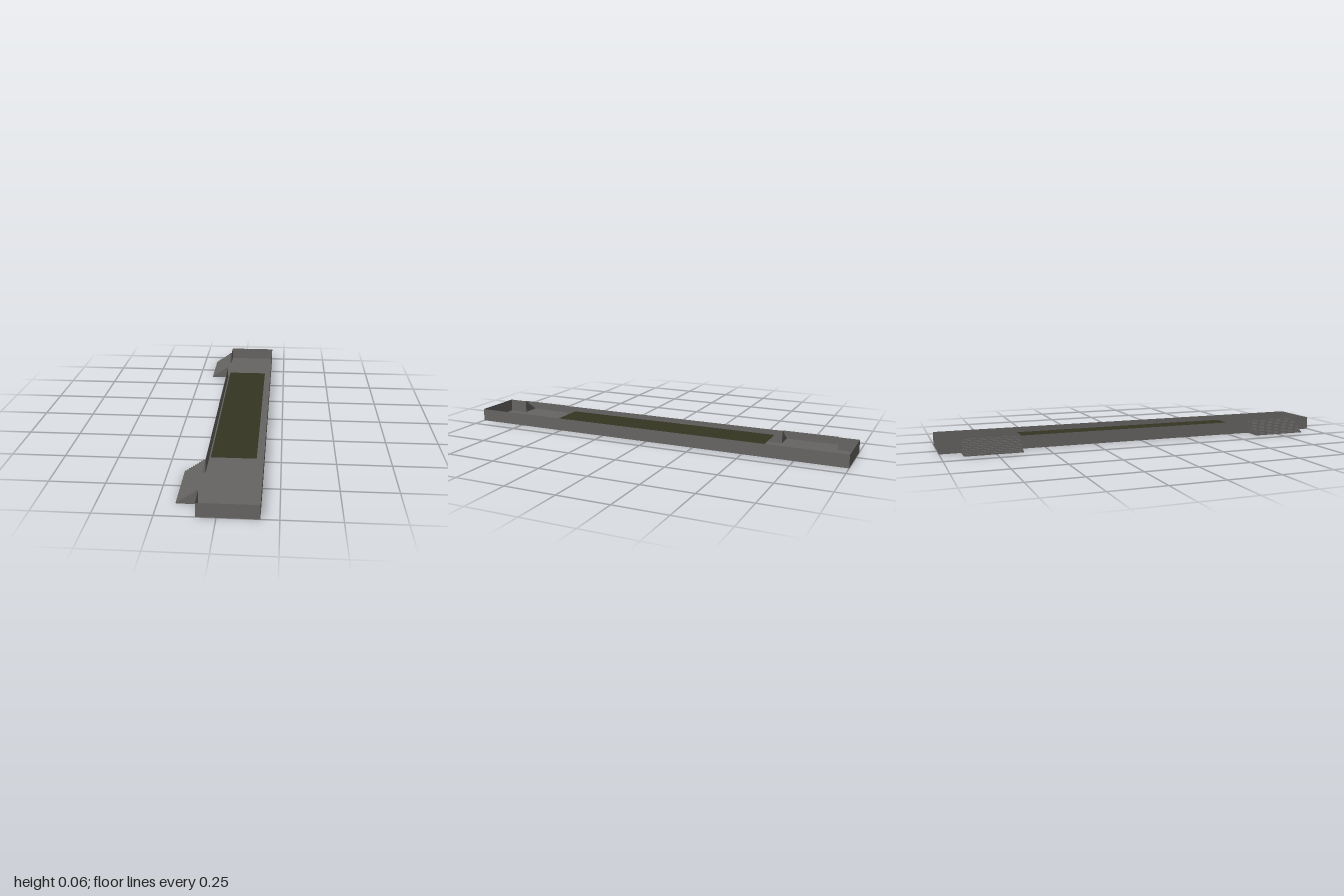
import * as THREE from 'three';

const LEFT = 0.174, RIGHT = -0.082, STAIR_FOOT = -0.174; // x limits
const HEIGHT = 0.064, END = 1, STEPS = 10;
const STAIRS = [[-0.9, -0.625], [0.622, 0.9]]; // z range of each flight

export function createModel() {
  const stone = new THREE.MeshStandardMaterial({ color: 0x666462, side: THREE.DoubleSide });
  stone.name = 'grey stone';
  const green = new THREE.MeshStandardMaterial({ color: 0x353521, side: THREE.DoubleSide });
  green.name = 'dark green';

  const model = new THREE.Group();
  model.name = 'platform';

  const add = (parent, name, geometry, material = stone) => {
    const mesh = new THREE.Mesh(geometry, material);
    mesh.name = name;
    parent.add(mesh);
  };
  // Thin sheets: level, facing up; along z, facing -x; along x, facing z
  const level = (x0, x1, z0, z1, y) => new THREE.PlaneGeometry(x1 - x0, z1 - z0)
    .rotateX(-Math.PI / 2).translate((x0 + x1) / 2, y, (z0 + z1) / 2);
  const sideSheet = (x, z0, z1, y0, y1, facing = -1) => new THREE.PlaneGeometry(z1 - z0, y1 - y0)
    .rotateY(facing * Math.PI / 2).translate(x, (y0 + y1) / 2, (z0 + z1) / 2);
  const endSheet = (z, facing) => new THREE.PlaneGeometry(LEFT - RIGHT, HEIGHT)
    .rotateY(facing > 0 ? 0 : Math.PI).translate((LEFT + RIGHT) / 2, HEIGHT / 2, z);

  // Open tray: floor and walls, with gaps in the right wall for the stairs
  add(model, 'floor', level(RIGHT, LEFT, -END, END, 0));
  add(model, 'leftWall', sideSheet(LEFT, -END, END, 0, HEIGHT, 1));
  add(model, 'frontWall', endSheet(END, 1));
  add(model, 'backWall', endSheet(-END, -1));
  const cuts = [-END, ...STAIRS.flat(), END];
  for (let i = 0; i < cuts.length; i += 2) {
    add(model, 'rightWall', sideSheet(RIGHT, cuts[i], cuts[i + 1], 0, HEIGHT));
  }

  // Raised green bed
  add(model, 'greenBed', level(-0.066, 0.14, -0.59, 0.555, 0.043), green);

  // Hollow flights of steps, open towards the tray
  const run = (RIGHT - STAIR_FOOT) / STEPS, rise = HEIGHT / STEPS;
  const profile = new THREE.Shape();
  profile.moveTo(RIGHT, 0);
  profile.lineTo(STAIR_FOOT, 0);
  for (let i = 0; i < STEPS; i++) {
    profile.lineTo(STAIR_FOOT + i * run, (i + 1) * rise);
    profile.lineTo(STAIR_FOOT + (i + 1) * run, (i + 1) * rise);
  }
  for (const [z0, z1] of STAIRS) {
    const stairs = new THREE.Group();
    stairs.name = z0 > 0 ? 'frontStairs' : 'backStairs';
    model.add(stairs);
    add(stairs, 'stairBase', level(STAIR_FOOT, RIGHT, z0, z1, 0));
    for (const z of [z0, z1]) {
      add(stairs, 'stairSide', new THREE.ShapeGeometry(profile).translate(0, 0, z));
    }
    for (let i = 0; i < STEPS; i++) {
      const x = STAIR_FOOT + i * run, y = i * rise;
      add(stairs, 'riser', sideSheet(x, z0, z1, y, y + rise));
      add(stairs, 'tread', level(x, x + run, z0, z1, y + rise));
    }
  }
  return model;
}
